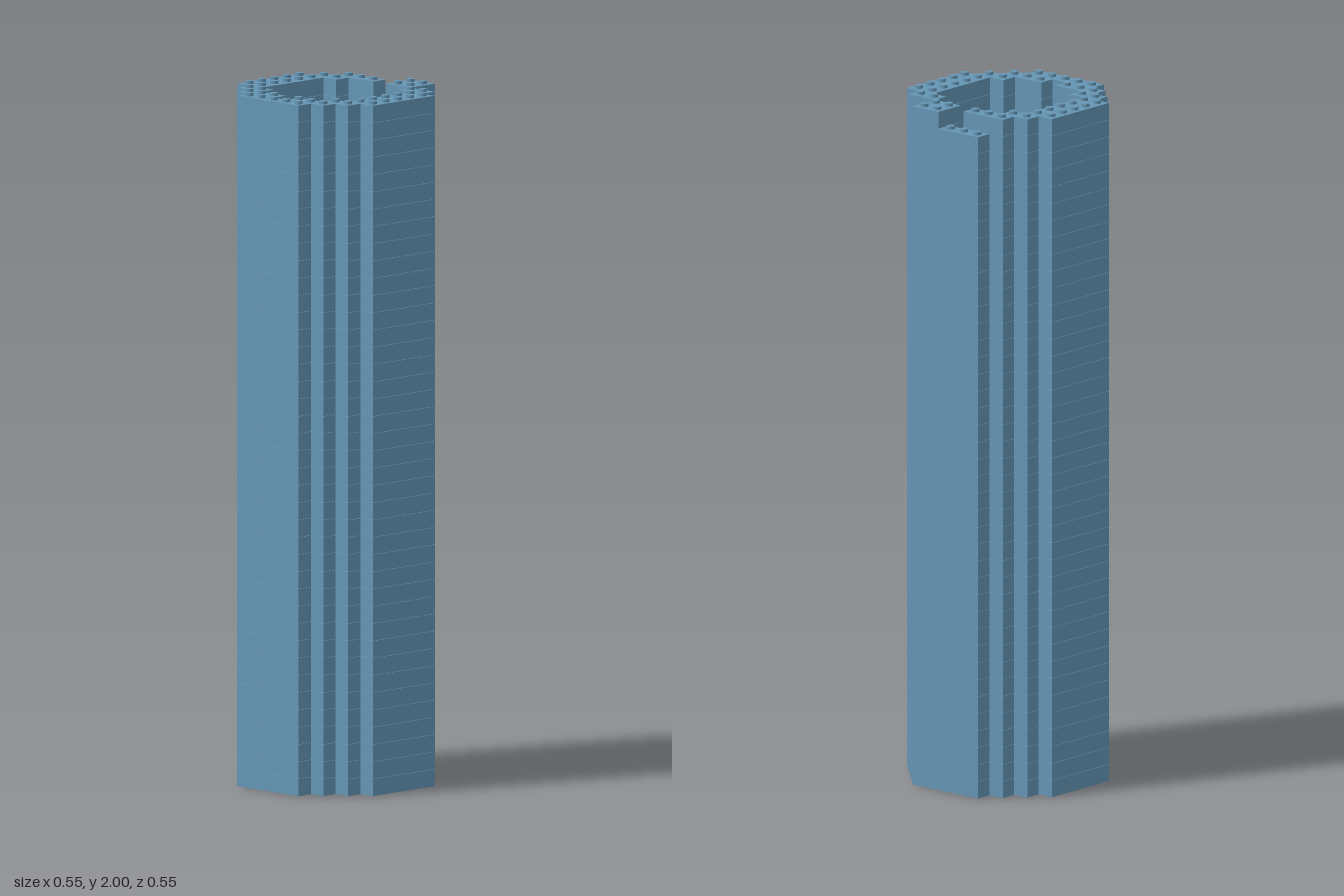
import * as THREE from 'three';
import { mergeGeometries } from 'three/addons/utils/BufferGeometryUtils.js';

const U = 0.0498;        // stud pitch
const LAYERS = 40;
const STUD_H = 0.008, STUD_R = 0.0118, GAP = 0.0008;
const H = (2 - STUD_H) / LAYERS;

// Each brick: first column, last column, first row, last row (in stud units)
const wallBricks = [
  [-2, 1, -5, -5], [2, 2, -5, -5], [-3, 2, -4, -4], [3, 3, -4, -3],
  [-4, -3, -3, -3], [4, 4, -3, -1], [4, 5, 1, 2], [3, 3, 3, 4],
  [2, 2, 4, 5], [-2, 1, 4, 5], [-3, -3, 3, 4], [-4, -4, 1, 3],
  [-5, -5, 0, 2], [-5, -4, -2, -1],
];
// Wall bricks that are absent from the topmost layer
const shortBricks = [[5, 5, -2, 0], [4, 4, 3, 3]];
const floorBricks = [
  [-2, 2, -3, -3], [-3, 2, -2, -1], [-4, -4, 0, 0], [-3, 2, 0, 1],
  [3, 3, -2, 1], [4, 4, 0, 0], [-3, 2, 2, 2], [3, 3, 2, 2], [-2, 2, 3, 3],
];

function brick([x0, x1, z0, z1], layer) {
  const g = new THREE.BoxGeometry((x1 - x0 + 1) * U - GAP, H - GAP, (z1 - z0 + 1) * U - GAP);
  return g.translate((x0 + x1) / 2 * U, layer * H + (H - GAP) / 2, (z0 + z1) / 2 * U);
}

function studs([x0, x1, z0, z1], layer) {
  const list = [];
  for (let x = x0; x <= x1; x++) {
    for (let z = z0; z <= z1; z++) {
      const g = new THREE.CylinderGeometry(STUD_R, STUD_R, STUD_H + GAP, 20);
      list.push(g.translate(x * U, (layer + 1) * H + (STUD_H - GAP) / 2, z * U));
    }
  }
  return list;
}

export function createModel() {
  const model = new THREE.Group();
  model.name = 'brickTower';
  const blue = new THREE.MeshStandardMaterial({ color: 0x6595b4 });
  blue.name = 'dusty blue';

  const add = (name, geometries) => {
    const mesh = new THREE.Mesh(mergeGeometries(geometries), blue);
    mesh.name = name;
    model.add(mesh);
  };

  // Hollow wall, one ring of bricks per layer
  for (let i = 0; i < LAYERS; i++) {
    const ring = i < LAYERS - 1 ? [...wallBricks, ...shortBricks] : wallBricks;
    add('wallLayer' + (i + 1), ring.map(b => brick(b, i)));
  }

  // Solid floor, two layers thick
  for (let i = 0; i < 2; i++) add('floorLayer' + (i + 1), floorBricks.map(b => brick(b, i)));

  // Exposed studs
  add('rimStuds', wallBricks.flatMap(b => studs(b, LAYERS - 1)));
  add('notchStuds', shortBricks.flatMap(b => studs(b, LAYERS - 2)));
  add('floorStuds', floorBricks.flatMap(b => studs(b, 1)));
  return model;
}
